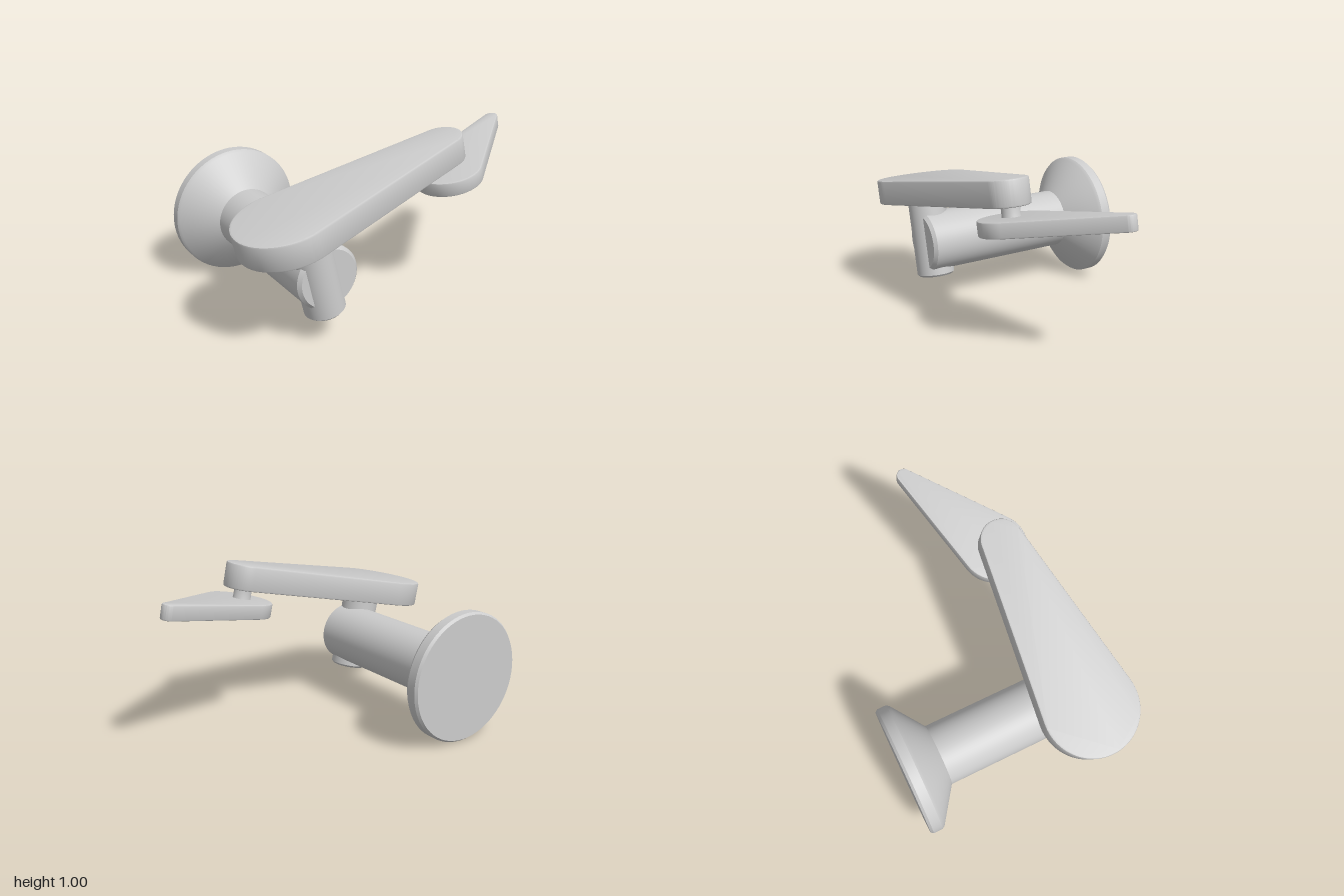
import * as THREE from 'three';
import { toCreasedNormals } from 'three/addons/utils/BufferGeometryUtils.js';

const TILT = 0.213; // shared slope of the pin and both arms
const material = new THREE.MeshStandardMaterial({ color: 0xcccccc });

function part(name, geometry, position, tilt = TILT) {
  const mesh = new THREE.Mesh(toCreasedNormals(geometry, 0.6), material);
  mesh.name = name;
  mesh.position.set(...position);
  mesh.rotation.z = tilt;
  return mesh;
}

// Solid of revolution around y from [radius, height] pairs
function turned(profile, segments = 48) {
  return new THREE.LatheGeometry(profile.map(([r, y]) => new THREE.Vector2(r, y)), segments);
}

// Flat plate wrapping a large circle at the origin and a small one at (dx, dz)
function taperedPlate(r1, r2, dx, dz, thickness, bevel) {
  const a = Math.atan2(-dz, dx);
  const b = Math.acos((r1 - r2) / Math.hypot(dx, dz));
  const shape = new THREE.Shape();
  shape.absarc(0, 0, r1 - bevel, a + b, a + 2 * Math.PI - b, false);
  shape.absarc(dx, -dz, r2 - bevel, a - b, a + b, false);
  shape.closePath();
  const geometry = new THREE.ExtrudeGeometry(shape, {
    depth: thickness - 2 * bevel, curveSegments: 32,
    bevelEnabled: true, bevelThickness: bevel, bevelSize: bevel, bevelSegments: 2,
  });
  geometry.translate(0, 0, bevel - thickness / 2);
  return geometry.rotateX(-Math.PI / 2);
}

export function createModel() {
  const model = new THREE.Group();
  model.name = 'jointedArm';

  // Wall flange with conical collar, running into the horizontal shaft
  const mount = turned([
    [0, -0.67], [0.375, -0.67], [0.387, -0.655], [0.387, -0.6], [0.375, -0.583],
    [0.183, -0.445], [0.183, 0.47], [0.165, 0.49], [0, 0.49],
  ], 64).rotateX(Math.PI / 2);
  model.add(part('flangeAndShaft', mount, [-0.52, 0.39, 0], 0));

  // Upright pin crossing the shaft end and carrying the main arm
  const pin = turned([[0, 0], [0.103, 0], [0.115, 0.012], [0.115, 0.5], [0, 0.5]]);
  model.add(part('pivotPin', pin, [-0.505, 0.17, 0.415]));

  // Main arm
  model.add(part('mainArm', taperedPlate(0.275, 0.122, 1.048, -0.035, 0.148, 0.01),
    [-0.711, 0.685, 0.39]));

  // Small joint between the arms
  const joint = turned([[0, 0], [0.062, 0], [0.052, 0.03], [0.052, 0.08], [0.075, 0.11], [0, 0.11]], 32);
  model.add(part('armJoint', joint, [0.352, 0.755, 0.35]));

  // Lower pointed arm
  model.add(part('pointedArm', taperedPlate(0.197, 0.042, 0.6, -0.3, 0.086, 0.008),
    [0.372, 0.74, 0.347]));

  return model;
}
